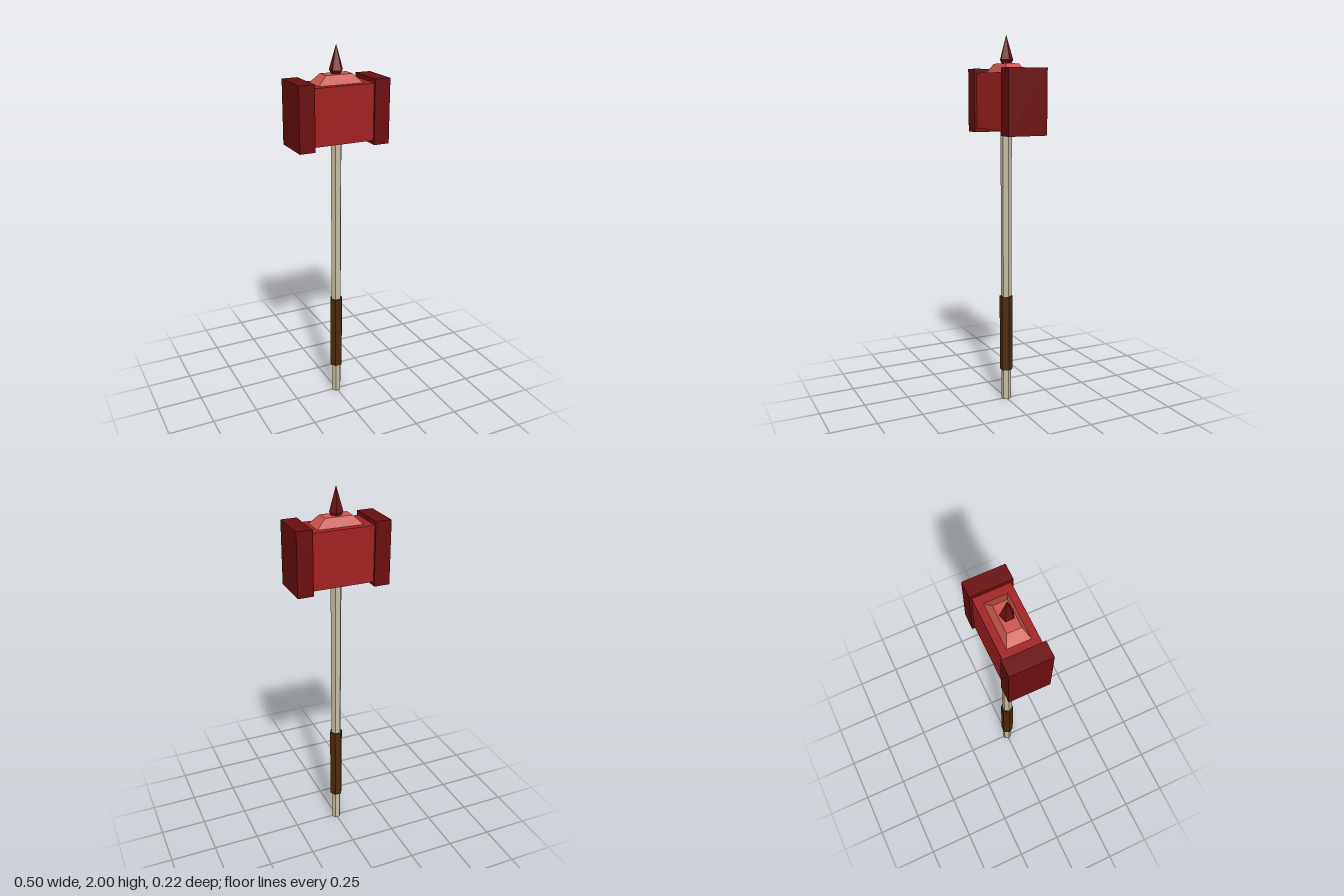
import * as THREE from 'three';

const mat = (name, color) => {
  const m = new THREE.MeshStandardMaterial({ color });
  m.name = name;
  m.flatShading = true;
  return m;
};

export function createModel() {
  const group = new THREE.Group();
  const darkRed = mat('dark red', 0x6b0d0f);
  const red = mat('red', 0xa32123);
  const lightRed = mat('light red', 0xcc554c);
  const wood = mat('pale wood', 0xc6bca2);
  const leather = mat('brown leather', 0x4c2a0b);

  const add = (name, geometry, material, x, y) => {
    const mesh = new THREE.Mesh(geometry, material);
    mesh.name = name;
    mesh.position.set(x, y, 0);
    group.add(mesh);
    return mesh;
  };

  // Upright prism between two heights, with one corner facing +x
  const prism = (name, rTop, rBottom, y0, y1, sides, material) => {
    const g = new THREE.CylinderGeometry(rTop, rBottom, y1 - y0, sides).rotateY(Math.PI / 2);
    return add(name, g, material, 0, (y0 + y1) / 2);
  };

  // Six-sided shaft and its wrapped grip
  prism('handle', 0.03, 0.027, 0, 1.53, 6, wood);
  prism('grip', 0.036, 0.036, 0.175, 0.6, 6, leather);

  // Hammer head with a larger striking block at each end
  add('headBody', new THREE.BoxGeometry(0.335, 0.294, 0.194), red, 0, 1.661);
  for (const side of [-1, 1]) {
    add(side > 0 ? 'leftStrikingBlock' : 'rightStrikingBlock',
      new THREE.BoxGeometry(0.085, 0.338, 0.218), darkRed, side * 0.2075, 1.661);
  }

  // Sloped plinth: a four-sided frustum stretched along x
  const plinth = new THREE.CylinderGeometry(0.6 * Math.SQRT2, Math.SQRT2, 0.047, 4, 1)
    .rotateY(Math.PI / 4).scale(0.123, 1, 0.061);
  add('plinth', plinth, lightRed, 0, 1.8305);

  // Five-sided spike with a narrowed foot
  const profile = [[0, 1.85], [0.024, 1.85], [0.037, 1.873], [0, 2]]
    .map(([r, y]) => new THREE.Vector2(r, y));
  add('spike', new THREE.LatheGeometry(profile, 5).rotateY(Math.PI / 2), darkRed, 0, 0);

  return group;
}
